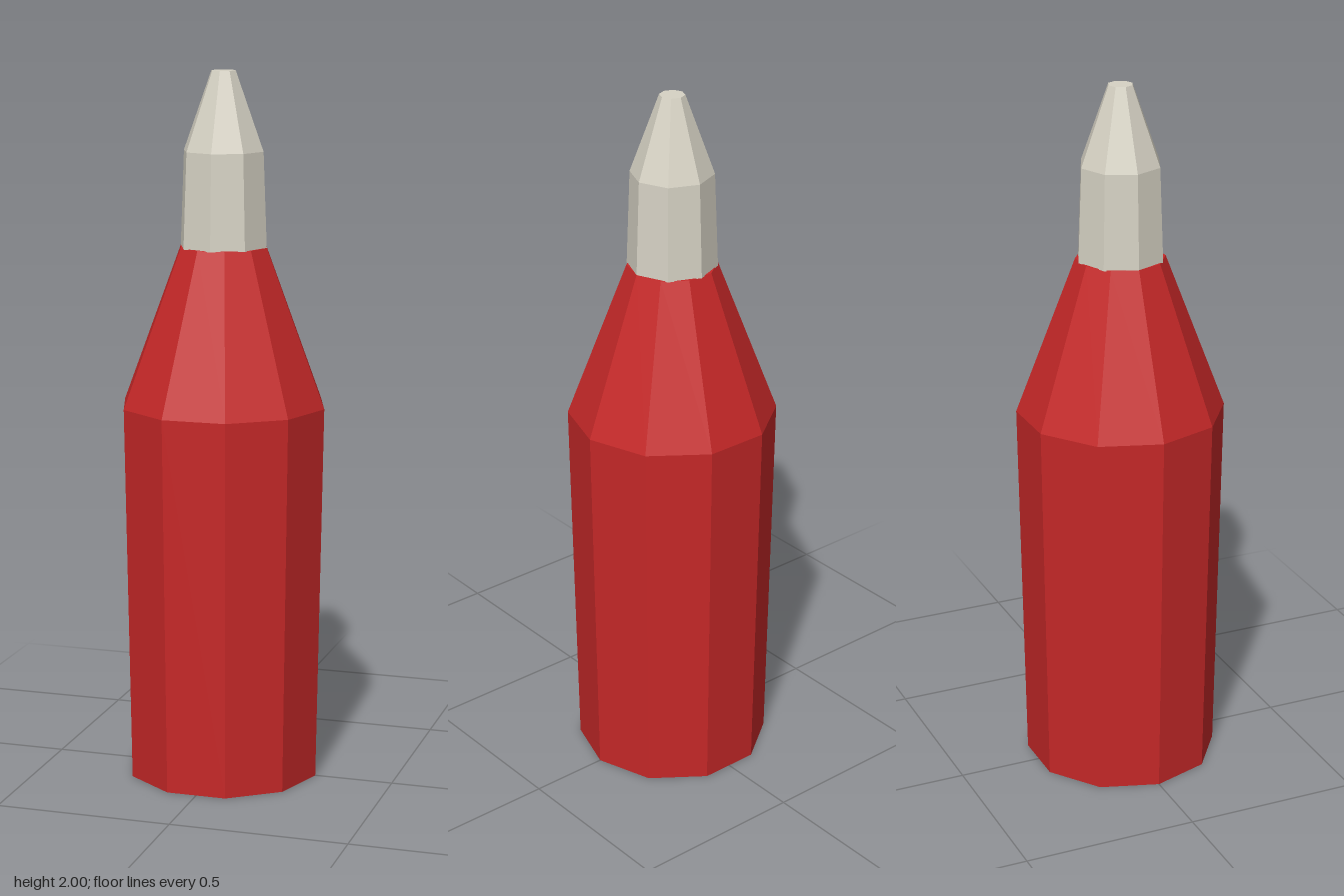
import * as THREE from 'three';

const red = new THREE.MeshStandardMaterial({ color: 0xc62828, flatShading: true });
red.name = 'red';
const paleGrey = new THREE.MeshStandardMaterial({ color: 0xd6d2c4, flatShading: true });
paleGrey.name = 'pale grey';

// Closed faceted solid from [radius, height] rings, with a corner on the x axis
function faceted(name, rings, sides, material) {
  const profile = [[0, rings[0][1]], ...rings, [0, rings[rings.length - 1][1]]];
  const points = profile.map(([r, y]) => new THREE.Vector2(r, y));
  const geometry = new THREE.LatheGeometry(points, sides, Math.PI / 2);
  const mesh = new THREE.Mesh(geometry, material);
  mesh.name = name;
  return mesh;
}

export function createModel() {
  const group = new THREE.Group();
  group.name = 'bottle';

  // Ten-sided body that flares slightly, then tapers through the shoulder
  group.add(faceted('body', [[0.275, 0], [0.293, 1.07], [0.125, 1.515]], 10, red));

  // Eight-sided nozzle with a small flat tip
  group.add(faceted('nozzle', [[0.125, 1.513], [0.115, 1.78], [0.035, 2]], 8, paleGrey));

  return group;
}
